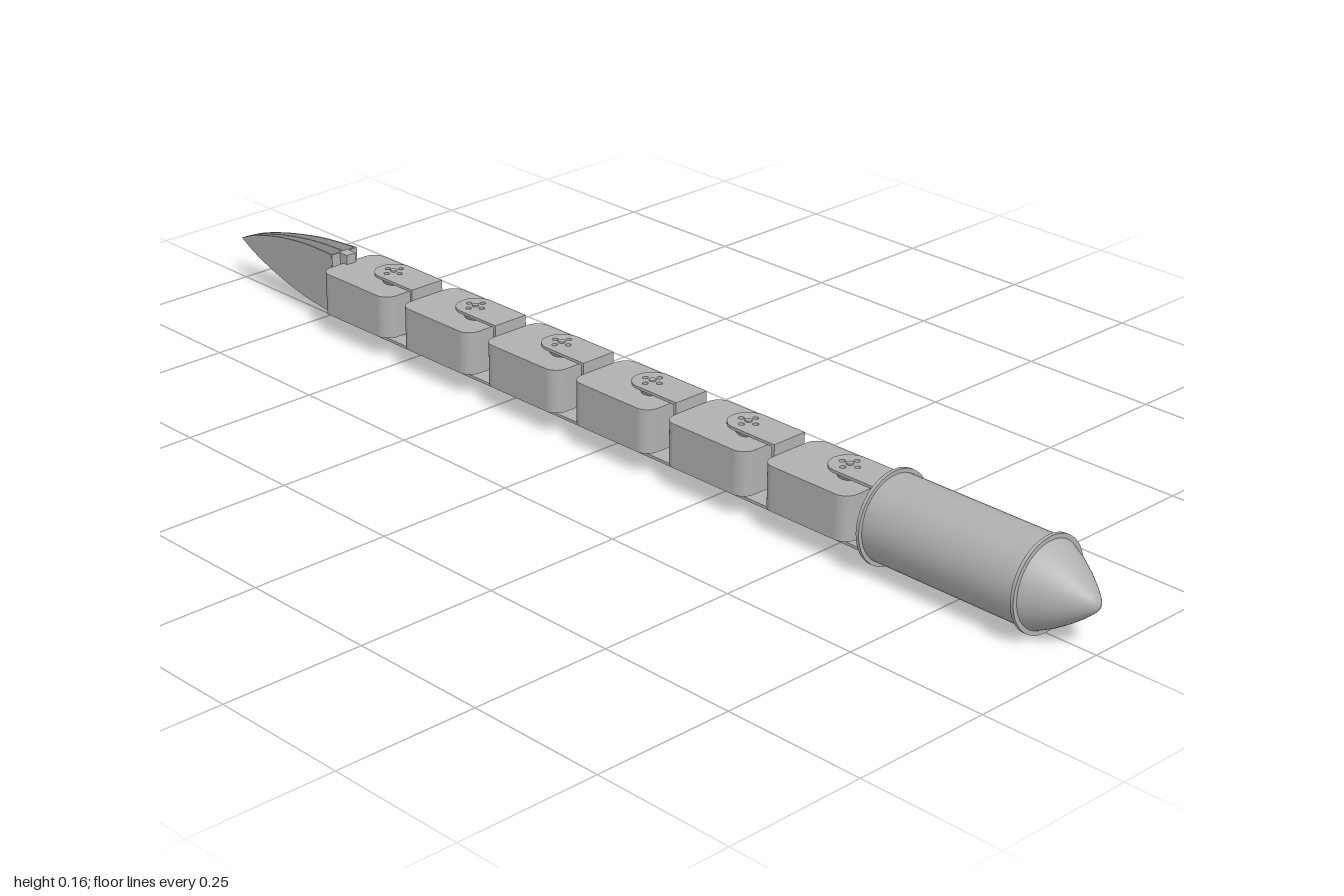
import * as THREE from 'three';

const grey = new THREE.MeshStandardMaterial({ color: 0xb0b0b0 });
grey.name = 'grey metal';

const AXIS_Y = 0.08;      // height of the long axis
const PITCH = 0.2163;     // distance between links
const LINKS = 6;

function add(parent, name, geometry, x = 0, y = 0, z = 0) {
  const mesh = new THREE.Mesh(geometry, grey);
  mesh.name = name;
  mesh.position.set(x, y, z);
  parent.add(mesh);
  return mesh;
}

// Extrudes a shape drawn in plan upwards, centred on y = 0
function slab(shape, height) {
  const g = new THREE.ExtrudeGeometry(shape, { depth: height, bevelEnabled: false, curveSegments: 10 });
  g.translate(0, 0, -height / 2);
  g.rotateX(-Math.PI / 2);
  return g;
}

// Motor block with rounded upright edges, x from 0 to length
function blockGeometry(length, half, r, height) {
  const s = new THREE.Shape();
  s.moveTo(r, -half);
  s.lineTo(length - r, -half);
  s.absarc(length - r, -half + r, r, -Math.PI / 2, 0, false);
  s.absarc(length - r, half - r, r, 0, Math.PI / 2, false);
  s.absarc(r, half - r, r, Math.PI / 2, Math.PI, false);
  s.absarc(r, -half + r, r, Math.PI, Math.PI * 1.5, false);
  return slab(s, height);
}

// Bracket arm: round end about the pivot, straight to the next link, with screw holes
function armGeometry(pivot, end, r, thickness) {
  const s = new THREE.Shape();
  s.moveTo(end, -r);
  s.lineTo(end, r);
  s.lineTo(pivot, r);
  s.absarc(pivot, 0, r, Math.PI / 2, Math.PI * 1.5, false);
  s.lineTo(end, -r);
  for (let i = 0; i < 4; i++) {
    const a = (i * Math.PI) / 2;
    const hole = new THREE.Path();
    hole.absarc(pivot + 0.016 * Math.cos(a), 0.016 * Math.sin(a), 0.005, 0, Math.PI * 2, true);
    s.holes.push(hole);
  }
  return slab(s, thickness);
}

// Leaf-shaped sheet; its z offset grows from the tip to the root
function leafGeometry(rootX, zTip, zRoot, thickness) {
  const upper = new THREE.SplineCurve([
    [-1, 0], [-0.95, 0.02], [-0.88, 0.038], [-0.8, 0.051], [-0.74, 0.055], [rootX, 0.056],
  ].map(([x, y]) => new THREE.Vector2(x, y))).getPoints(20);
  const lower = upper.slice(1).reverse().map((p) => new THREE.Vector2(p.x, -p.y));
  const shape = new THREE.Shape([...lower, ...upper]);
  const g = new THREE.ExtrudeGeometry(shape, { depth: thickness, bevelEnabled: false });
  g.translate(0, 0, -thickness / 2);
  const p = g.attributes.position;
  for (let i = 0; i < p.count; i++) {
    const t = (p.getX(i) + 1) / (rootX + 1);
    p.setZ(i, p.getZ(i) + zTip + (zRoot - zTip) * t);
  }
  g.computeVertexNormals();
  return g;
}

function buildLink() {
  const link = new THREE.Group();
  const pivot = 0.127;
  add(link, 'motorBlock', blockGeometry(0.18, 0.063, 0.024, 0.077));
  for (const side of [1, -1]) {
    add(link, 'bracketArm', armGeometry(pivot, PITCH, 0.034, 0.005), 0, side * 0.0555);
    // Flared hub between block and arm
    const hub = new THREE.CylinderGeometry(0.028, 0.018, 0.015, 24);
    if (side < 0) hub.rotateX(Math.PI);
    add(link, 'pivotHub', hub, pivot, side * 0.0455);
    add(link, 'pivotScrew', new THREE.CylinderGeometry(0.006, 0.006, 0.006, 16), pivot, side * 0.0575);
  }
  // Upright sheet joining both arms
  add(link, 'bracketBack', new THREE.BoxGeometry(0.006, 0.116, 0.068), PITCH - 0.003);
  return link;
}

function buildHead() {
  const head = new THREE.Group();
  head.name = 'canister';
  const tube = (name, r, x0, x1) => {
    const g = new THREE.CylinderGeometry(r, r, x1 - x0, 48);
    g.rotateZ(-Math.PI / 2);
    add(head, name, g, (x0 + x1) / 2);
  };
  tube('canisterBody', 0.0725, 0.6, 0.905);
  tube('rearRim', 0.079, 0.599, 0.605);
  tube('frontRim', 0.079, 0.9, 0.906);
  // Rounded conical nose
  const profile = [[0.072, 0.905], [0.06, 0.93], [0.045, 0.954], [0.028, 0.977], [0.016, 0.991], [0.008, 0.998], [0, 1]];
  const nose = new THREE.LatheGeometry(profile.map(([r, h]) => new THREE.Vector2(r, h)), 48);
  nose.rotateZ(-Math.PI / 2);
  add(head, 'noseCone', nose);
  return head;
}

function buildTail() {
  const tail = new THREE.Group();
  tail.name = 'tailBlades';
  const root = -0.708;
  for (const side of [1, -1]) {
    add(tail, 'outerBlade', leafGeometry(root, side * 0.004, side * 0.027, 0.003));
  }
  add(tail, 'centreBlade', leafGeometry(root, 0, 0, 0.003));
  add(tail, 'bladePlate', new THREE.BoxGeometry(0.004, 0.112, 0.056), root);
  add(tail, 'bladeMount', new THREE.BoxGeometry(0.022, 0.112, 0.02), -0.698);
  return tail;
}

export function createModel() {
  const model = new THREE.Group();
  model.name = 'jointedSnakeRobot';
  const body = new THREE.Group();
  body.name = 'snakeBody';
  body.position.y = AXIS_Y;
  model.add(body);
  for (let i = 0; i < LINKS; i++) {
    const link = buildLink();
    link.name = `link${i + 1}`;
    link.position.x = 0.601 - PITCH * (LINKS - i);
    body.add(link);
  }
  body.add(buildHead(), buildTail());
  return model;
}
